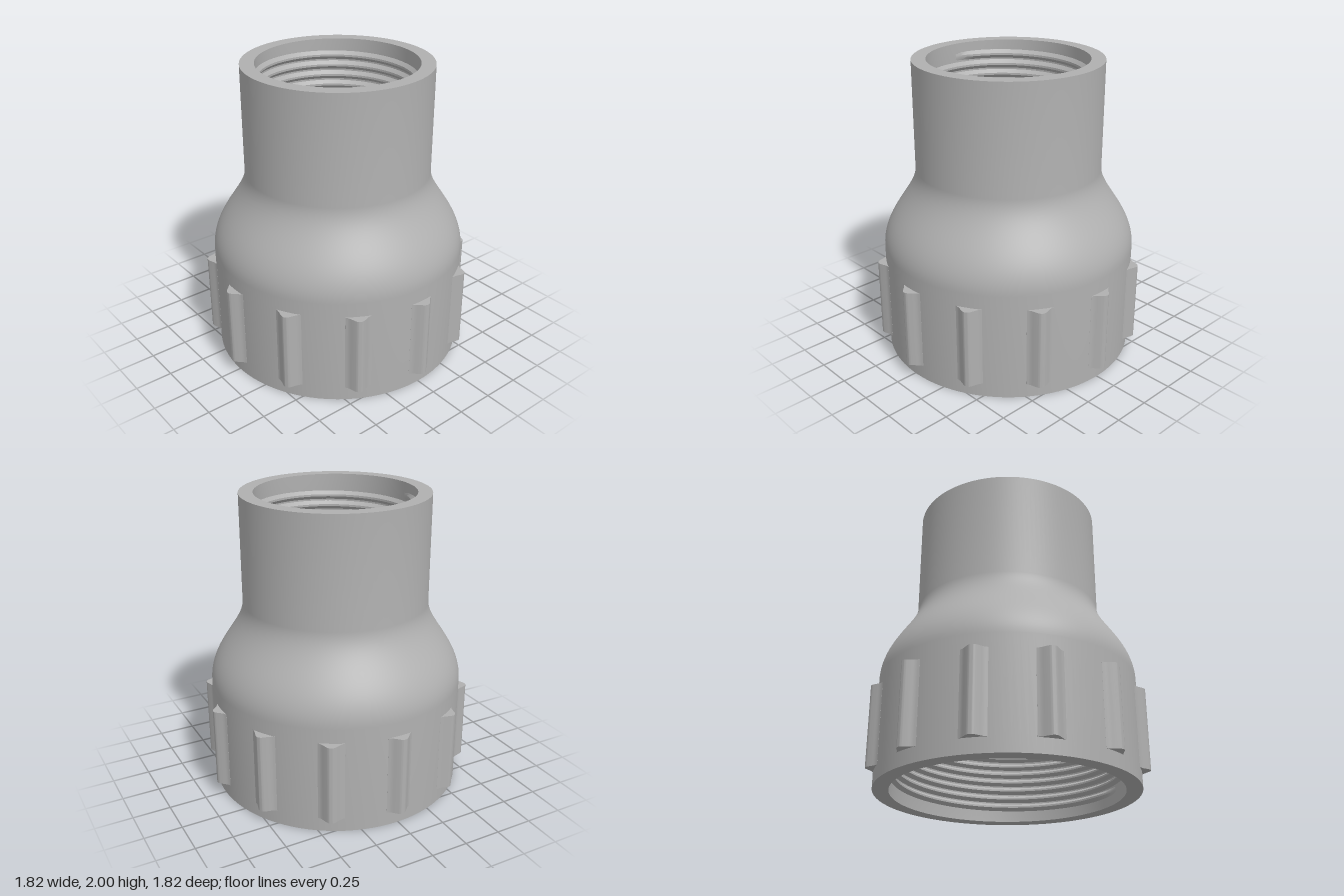
import * as THREE from 'three';
import { toCreasedNormals } from 'three/addons/utils/BufferGeometryUtils.js';

const SEGMENTS = 120;

// Closed wall profile: up the outside, over the rim, down the bore
function bodyGeometry() {
  const p = (r, y) => new THREE.Vector2(r, y);
  const shoulder = new THREE.CubicBezierCurve(
    p(0.853, 0.73), p(0.853, 0.95), p(0.63, 1.09), p(0.622, 1.27)).getPoints(24);
  const profile = [
    p(0.853, 0), ...shoulder, p(0.622, 2),
    p(0.528, 2), p(0.525, 1.24),
    p(0.56, 1.1), p(0.7, 0.84), p(0.745, 0.72),
    p(0.75, 0), p(0.853, 0),
  ];
  return toCreasedNormals(new THREE.LatheGeometry(profile, SEGMENTS), 0.5);
}

// Right-handed helical ridge on a bore wall, tapering out at both ends
function threadGeometry(radius, depth, pitch, y0, y1) {
  const turns = (y1 - y0) / pitch;
  const steps = Math.round(turns * 80);
  const section = [[0.004, -0.46], [-1, -0.1], [-1, 0.1], [0.004, 0.46]];
  const positions = [], index = [];
  for (let i = 0; i <= steps; i++) {
    const t = i / steps;
    const a = -Math.PI / 2 - (1 - t) * turns * Math.PI * 2;
    const fade = Math.min(1, i / 4, (steps - i) / 4);
    for (const [d, h] of section) {
      const r = radius + (d < 0 ? d * depth * fade : d);
      positions.push(r * Math.cos(a), y0 + (y1 - y0) * t + h * pitch, -r * Math.sin(a));
    }
  }
  for (let i = 0; i < steps; i++) {
    for (let j = 0; j < 3; j++) {
      const a = i * 4 + j, b = a + 1, c = a + 4, d = a + 5;
      index.push(a, b, c, b, d, c);
    }
  }
  const g = new THREE.BufferGeometry();
  g.setAttribute('position', new THREE.Float32BufferAttribute(positions, 3));
  g.setIndex(index);
  return toCreasedNormals(g, 0.5);
}

// Grip rib: rounded crest with hollow flanks, standing upright
function ribGeometry() {
  const s = new THREE.Shape();
  s.moveTo(-0.09, 0.82);
  s.lineTo(0.09, 0.82);
  s.lineTo(0.085, 0.849);
  s.quadraticCurveTo(0.067, 0.856, 0.052, 0.872);
  s.lineTo(0.03, 0.895);
  s.quadraticCurveTo(0.015, 0.91, 0, 0.91);
  s.quadraticCurveTo(-0.015, 0.91, -0.03, 0.895);
  s.lineTo(-0.052, 0.872);
  s.quadraticCurveTo(-0.067, 0.856, -0.085, 0.849);
  s.closePath();
  const g = new THREE.ExtrudeGeometry(s, { depth: 0.54, bevelEnabled: false, curveSegments: 6 });
  g.rotateX(-Math.PI / 2);
  g.translate(0, 0.095, 0);
  return toCreasedNormals(g, 0.6);
}

export function createModel() {
  const model = new THREE.Group();
  model.name = 'threadedReducer';
  const grey = new THREE.MeshStandardMaterial({ color: 0xb0b0b0 });
  grey.name = 'grey plastic';
  const threadGrey = grey;
  threadGrey.side = THREE.DoubleSide;

  const add = (name, geometry, parent = model) => {
    const mesh = new THREE.Mesh(geometry, grey);
    mesh.name = name;
    parent.add(mesh);
    return mesh;
  };

  add('body', bodyGeometry());
  add('upperThread', threadGeometry(0.526, 0.02, 0.07, 1.3, 1.91));
  add('lowerThread', threadGeometry(0.748, 0.025, 0.06, 0.09, 0.68));

  // Twelve grip ribs around the collar
  const ribs = new THREE.Group();
  ribs.name = 'gripRibs';
  model.add(ribs);
  const rib = ribGeometry();
  for (let i = 0; i < 12; i++) {
    add('gripRib', rib, ribs).rotation.y = (i * Math.PI) / 6;
  }
  return model;
}
